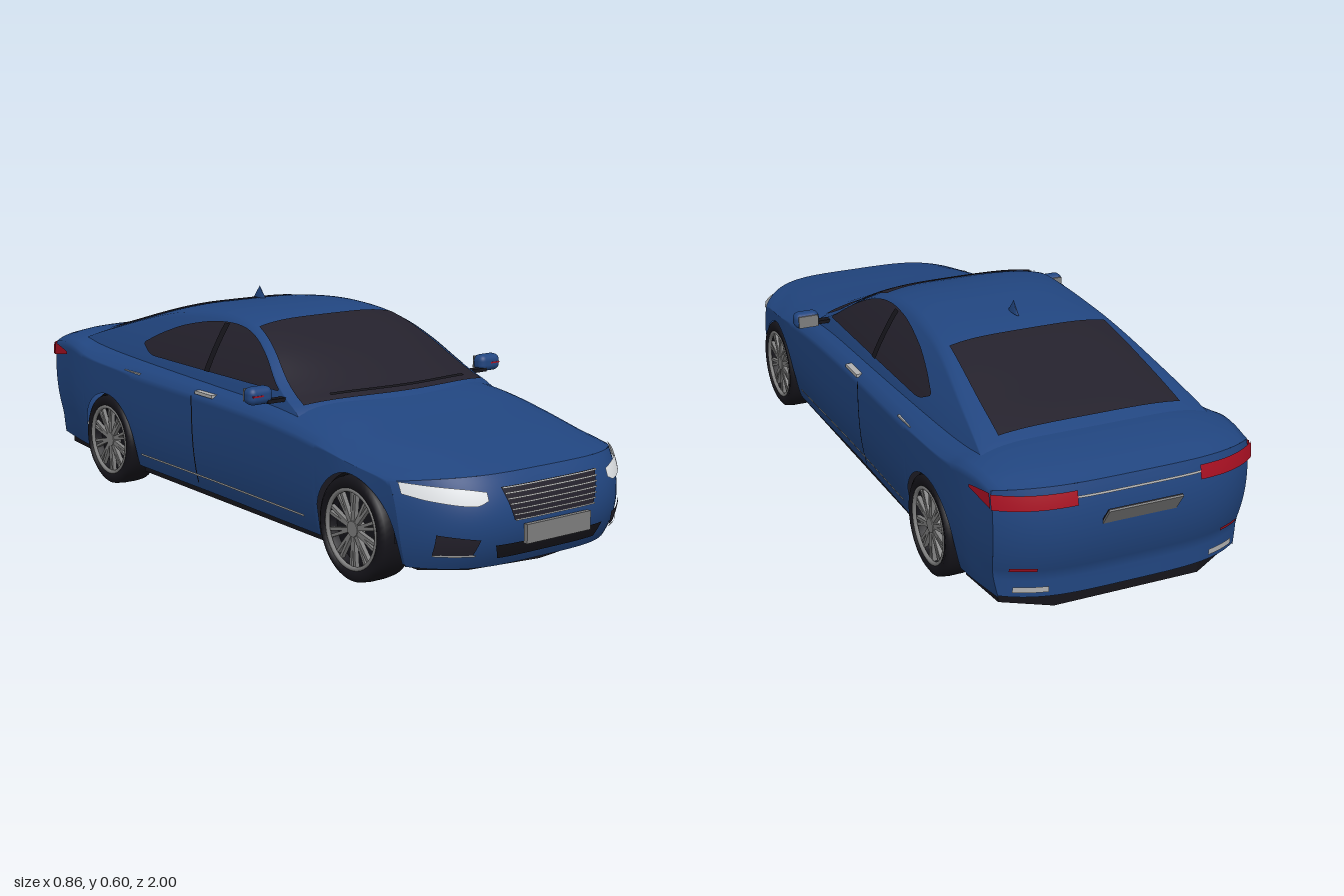
import * as THREE from 'three';
import { RoundedBoxGeometry } from 'three/addons/geometries/RoundedBoxGeometry.js';

const mat = (name, color) => new THREE.MeshStandardMaterial({ name, color, side: THREE.DoubleSide });
const blue = mat('blue paint', 0x21457f), glass = mat('dark glass', 0x24212c), black = mat('black trim', 0x15141a);
const grey = mat('grey metal', 0x7e7e7e), chrome = mat('chrome', 0xb0b0b0), white = mat('lamp white', 0xe2e5e8);
const red = mat('lamp red', 0xa81022);

const clamp = (v, a, b) => Math.min(b, Math.max(a, v));
const mix = (a, b, t) => a + (b - a) * t;
const smooth = t => { t = clamp(t, 0, 1); return t * t * (3 - 2 * t); };

// Smooth curve through [t, value] points in rising t
function curve(...p) {
  const n = p.length - 1;
  const slope = i => {
    const a = p[Math.max(0, i - 1)], b = p[Math.min(n, i + 1)];
    return (b[1] - a[1]) / (b[0] - a[0]);
  };
  return t => {
    t = clamp(t, p[0][0], p[n][0]);
    let i = 0;
    while (i < n - 1 && t > p[i + 1][0]) i++;
    const h = p[i + 1][0] - p[i][0], s = (t - p[i][0]) / h, s2 = s * s, s3 = s2 * s;
    return (2 * s3 - 3 * s2 + 1) * p[i][1] + (s3 - 2 * s2 + s) * h * slope(i)
      + (3 * s2 - 2 * s3) * p[i + 1][1] + (s3 - s2) * h * slope(i + 1);
  };
}

// Body rules along the length
const FRONT = 0.98, REAR = -0.97, AXLES = [0.65, -0.54], ARCH = 0.145;
const halfWidth = curve([-0.97, 0.35], [-0.8, 0.366], [-0.5, 0.372], [0, 0.368], [0.5, 0.372], [0.8, 0.366], [0.98, 0.355]);
const deckY = curve([-0.97, 0.4], [-0.9, 0.42], [-0.8, 0.432], [-0.7, 0.43], [-0.4, 0.42], [0.2, 0.41], [0.42, 0.395],
  [0.6, 0.366], [0.8, 0.338], [0.93, 0.315], [0.98, 0.303]);
const deckDrop = curve([-0.97, 0.015], [-0.7, 0.055], [-0.4, 0.06], [0.4, 0.06], [0.7, 0.045], [0.98, 0.02]);
const baseY = curve([-0.97, 0.1], [-0.7, 0.085], [0.8, 0.08], [0.98, 0.075]);
const shoulderY = z => deckY(z) - deckDrop(z);
const sideX = (y, z) => {
  const sh = shoulderY(z);
  return halfWidth(z) * (1 - 0.08 * clamp((sh - y) / (sh - 0.07), 0, 1) ** 3);
};
// Rounds the nose and tail in plan and in profile
function warp(x, y, z) {
  const f = smooth((z - 0.5) / 0.48), b = smooth((-0.55 - z) / 0.42), k = (x / 0.37) ** 4;
  return z - f * (0.2 * k + Math.min(0.045, 3 * (y - 0.19) ** 2)) + b * (0.1 * k + Math.min(0.03, 1.5 * (y - 0.3) ** 2));
}
function lowY(z) {
  for (const a of AXLES) if (Math.abs(z - a) < ARCH) return 0.13 + Math.sqrt(ARCH ** 2 - (z - a) ** 2);
  return baseY(z);
}
function bodyPoint(s, z) {
  const q = Math.abs(s) * 2, sign = Math.sign(s);
  let x, y;
  if (q <= 1) {
    x = q * halfWidth(z);
    y = deckY(z) - deckDrop(z) * q ** 5;
  } else {
    y = mix(shoulderY(z), lowY(warp(halfWidth(z), 0.2, z)), q - 1);
    x = sideX(y, z);
  }
  return [sign * x, y, warp(x, y, z)];
}
const endPoint = (u, v, z) => {
  const y = mix(baseY(z), deckY(z) - deckDrop(z) * Math.abs(u) ** 5, v), x = u * sideX(y, z);
  return [x, y, warp(x, y, z)];
};
// Points lying just outside the nose, the tail and the flanks
const nosePoint = (x, y, off) => [x + Math.sign(x) * off * (Math.abs(x) / 0.37) ** 3, y, warp(x, y, FRONT) + off];
const tailPoint = (x, y, off) => [x + Math.sign(x) * off * (Math.abs(x) / 0.37) ** 3, y, warp(x, y, REAR) - off];
const sidePoint = (s, y, z, off) => [s * (sideX(y, z) + off), y, warp(sideX(y, z), y, z)];

// Cabin rules
const cabinX = curve([0.34, 0.34], [0.41, 0.315], [0.48, 0.28], [0.55, 0.235], [0.58, 0.2]);
const roofY = curve([-0.82, 0.4], [-0.74, 0.435], [-0.6, 0.48], [-0.36, 0.548], [-0.2, 0.57], [-0.07, 0.574],
  [0.05, 0.558], [0.2, 0.505], [0.38, 0.42], [0.44, 0.395], [0.48, 0.37]);
const bow = (x, z) => z - 0.06 * smooth((z - 0.05) / 0.3) * (x / 0.3) ** 2;
function roofPoint(q, z, off = 0) {
  const e = roofY(z) - 0.02, x = q * cabinX(e);
  return [x, e + 0.02 * (1 - q ** 4) + off, bow(x, z)];
}
function cabinPoint(s, z) {
  const q = Math.abs(s) * 2;
  if (q <= 1) return roofPoint(s * 2, z);
  const e = roofY(z) - 0.02, y = mix(e, Math.min(0.35, e), q - 1), x = cabinX(y);
  return [Math.sign(s) * x, y, bow(x, z)];
}

// Grid surface from fn(u, v), u and v from 0 to 1
function surface(fn, nu, nv) {
  const pos = [], idx = [];
  for (let j = 0; j <= nv; j++) for (let i = 0; i <= nu; i++) {
    pos.push(...fn(i / nu, j / nv));
    const a = j * (nu + 1) + i, b = a + nu + 1;
    if (i < nu && j < nv) idx.push(a, b, a + 1, a + 1, b, b + 1);
  }
  const g = new THREE.BufferGeometry();
  g.setAttribute('position', new THREE.Float32BufferAttribute(pos, 3));
  g.setIndex(idx);
  g.computeVertexNormals();
  return g;
}

export function createModel() {
  const car = new THREE.Group();
  car.name = 'car';
  const add = (name, geo, m, x = 0, y = 0, z = 0, parent = car) => {
    const mesh = new THREE.Mesh(geo, m);
    mesh.name = name;
    mesh.position.set(x, y, z);
    parent.add(mesh);
    return mesh;
  };
  const box = (w, h, d) => new THREE.BoxGeometry(w, h, d);

  // Painted shell
  add('bodyShell', surface((u, v) => bodyPoint(u * 2 - 1, mix(FRONT, REAR, v)), 64, 220), blue);
  add('frontFascia', surface((u, v) => endPoint(u * 2 - 1, v, FRONT), 60, 20), blue);
  add('rearFascia', surface((u, v) => endPoint(1 - u * 2, v, REAR), 60, 20), blue);
  add('cabin', surface((u, v) => cabinPoint(u * 2 - 1, mix(0.48, -0.82, v)), 64, 90), blue);
  const fin = new THREE.ConeGeometry(0.03, 0.035, 12).scale(0.2, 1, 1);
  add('roofFin', fin, blue, 0, 0.582, -0.27);

  // Windscreen, rear window and wipers
  add('windscreen', surface((u, v) => roofPoint((u * 2 - 1) * 0.93, mix(0.43, 0.06, v), 0.004), 30, 40), glass);
  add('rearWindow', surface((u, v) => roofPoint((u * 2 - 1) * mix(0.9, 0.82, v), mix(-0.36, -0.715, v), 0.004), 30, 40), glass);
  for (const [a, b] of [[-0.7, 0], [0, 0.7]])
    add('wiper', surface((u, v) => roofPoint(mix(a, b, u), mix(0.418, 0.408, v), 0.009), 16, 1), black);

  // Front: grille, intake and number plate
  const grilleHalf = y => mix(0.13, 0.155, (y - 0.195) / 0.08);
  add('grille', surface((u, v) => {
    const y = mix(0.195, 0.275, v);
    return nosePoint((u * 2 - 1) * grilleHalf(y), y, 0.004);
  }, 16, 8), glass);
  for (let i = 0; i < 7; i++) {
    const y = 0.197 + i * 0.0128;
    add('grilleBar', surface((u, v) => nosePoint((u * 2 - 1) * grilleHalf(y), y + (v - 0.5) * 0.004, 0.009), 16, 1), chrome);
  }
  add('lowerIntake', surface((u, v) => nosePoint((u * 2 - 1) * mix(0.16, 0.175, v), mix(0.1, 0.137, v), 0.005), 16, 4), black);
  add('frontPlate', box(0.21, 0.048, 0.012), grey, 0, 0.16, 0.992);

  // Tail: tilted number plate and chrome strip
  const plate = new THREE.Group();
  plate.name = 'rearPlate';
  plate.position.set(0, 0.312, -0.981);
  plate.rotation.x = -0.6;
  car.add(plate);
  add('plateFace', box(0.2, 0.058, 0.004), grey, 0, 0, -0.002, plate);
  add('plateBack', box(0.2, 0.058, 0.004), black, 0, 0, 0.002, plate);
  add('bootStrip', surface((u, v) => tailPoint(mix(-0.17, 0.17, u), 0.366 + v * 0.006, 0.005), 16, 1), chrome);

  const lampLow = curve([0, 0.248], [0.2, 0.237], [0.75, 0.248], [1, 0.26]);
  const lampTop = curve([0, 0.268], [0.3, 0.276], [1, 0.287]);
  const windowTop = curve([-0.42, 0.444], [-0.35, 0.478], [-0.25, 0.513], [-0.1, 0.54], [0.04, 0.536], [0.2, 0.483], [0.34, 0.417]);
  const windowLow = curve([-0.42, 0.436], [-0.37, 0.415], [-0.3, 0.412], [0.34, 0.412]);

  for (const s of [1, -1]) {
    // Lamps and bumper details
    add('headlight', surface((u, v) => nosePoint(s * mix(0.195, 0.344, u), mix(lampLow(u), lampTop(u), v), 0.007), 24, 6), white);
    add('bumperVent', surface((u, v) => nosePoint(s * mix(mix(0.225, 0.215, v), 0.3, u), mix(0.115, mix(0.155, 0.168, u), v), 0.006), 10, 5), glass);
    add('ventStrip', surface((u, v) => nosePoint(s * mix(0.22, 0.3, u), 0.112 + v * 0.005, 0.009), 10, 1), chrome);
    add('tailLight', surface((u, v) => tailPoint(s * mix(0.165, 0.35, u), mix(mix(0.35, 0.342, u), mix(0.386, 0.38, u), v), 0.007), 24, 5), red);
    add('tailLightSide', surface((u, v) => sidePoint(s, mix(mix(0.342, 0.358, u), mix(0.38, 0.365, u), v), mix(REAR, -0.87, u), 0.005), 16, 4), red);
    add('rearReflector', surface((u, v) => tailPoint(s * mix(0.25, 0.31, u), mix(0.175, 0.185, v), 0.006), 8, 2), red);
    add('exhaustTrim', surface((u, v) => tailPoint(s * mix(0.22, 0.3, u), mix(0.115, 0.13, v), 0.006), 8, 2), chrome);

    // Side glass, pillar, seam, sill strip and handles
    add('sideWindow', surface((u, v) => {
      const z = mix(0.34, -0.42, u), y = mix(windowLow(z), windowTop(z), v);
      return [s * (cabinX(y) + 0.004), y, bow(cabinX(y), z)];
    }, 50, 10), glass);
    add('doorPillar', surface((u, v) => {
      const y = mix(0.412, 0.54, v);
      return [s * (cabinX(y) + 0.008), y, mix(-0.05, -0.075, u)];
    }, 1, 10), black);
    add('doorSeam', surface((u, v) => sidePoint(s, mix(0.1, 0.35, v), -0.063 - u * 0.005, 0.003), 1, 12), black);
    add('sillStrip', surface((u, v) => sidePoint(s, 0.121 + v * 0.006, mix(0.45, -0.36, u), 0.004), 30, 1), chrome);
    for (const z of [-0.01, -0.39]) add('doorHandle', box(0.022, 0.009, 0.085), chrome, s * 0.357, 0.361, z);

    // Door mirror
    add('mirrorStalk', box(0.07, 0.01, 0.022), black, s * 0.34, 0.396, 0.3);
    add('mirrorHousing', new RoundedBoxGeometry(0.074, 0.047, 0.044, 4, 0.018), blue, s * 0.392, 0.413, 0.29);
    add('mirrorGlass', box(0.058, 0.034, 0.004), grey, s * 0.392, 0.413, 0.267);
    add('mirrorIndicator', box(0.032, 0.004, 0.004), red, s * 0.405, 0.414, 0.311);

    for (const z of AXLES) {
      // Wheel well
      const well = new THREE.CylinderGeometry(ARCH, ARCH, 0.06, 32, 1, false, 0, Math.PI).rotateZ(Math.PI / 2);
      add('wheelWell', well, black, s * 0.23, 0.13, z);
      const liner = new THREE.CylinderGeometry(ARCH, ARCH, 0.09, 32, 1, true, 0, Math.PI).rotateZ(Math.PI / 2);
      add('archLiner', liner, black, s * 0.3, 0.13, z);

      // Wheel, outer side towards local +x
      const wheel = new THREE.Group();
      wheel.name = 'wheel';
      wheel.position.set(s * 0.32, 0.135, z);
      if (s < 0) wheel.rotation.y = Math.PI;
      car.add(wheel);
      const profile = [[0.095, -0.045], [0.12, -0.05], [0.132, -0.042], [0.135, -0.02], [0.135, 0.02], [0.132, 0.042], [0.12, 0.05], [0.1, 0.046], [0.096, 0.01]];
      add('tyre', new THREE.LatheGeometry(profile.map(p => new THREE.Vector2(...p)), 48).rotateZ(-Math.PI / 2), black, 0, 0, 0, wheel);
      add('wheelBack', new THREE.CylinderGeometry(0.097, 0.097, 0.05, 40).rotateZ(Math.PI / 2), black, -0.01, 0, 0, wheel);
      add('rimRing', new THREE.TorusGeometry(0.099, 0.006, 8, 48).rotateY(Math.PI / 2), grey, 0.043, 0, 0, wheel);
      add('hub', new THREE.CylinderGeometry(0.02, 0.024, 0.024, 24).rotateZ(-Math.PI / 2), grey, 0.03, 0, 0, wheel);
      for (let i = 0; i < 10; i++) for (const d of [-0.09, 0.09]) {
        const spoke = add('spoke', box(0.012, 0.082, 0.008).translate(0, 0.058, 0), grey, 0.034, 0, 0, wheel);
        spoke.rotation.x = i * Math.PI / 5 + d;
      }
    }
  }

  // Flat underbody with notches for the wheels
  const half = [[0.2, 0.9], [0.3, 0.83], [0.3, 0.8], [0.26, 0.795], [0.26, 0.505], [0.335, 0.495], [0.335, -0.385],
    [0.26, -0.395], [0.26, -0.685], [0.33, -0.695], [0.315, -0.85], [0.2, -0.92]];
  const outline = [...half, ...half.map(([x, z]) => [-x, z]).reverse()].map(p => new THREE.Vector2(...p));
  outline.push(new THREE.Vector2(0, 0.93));
  const floor = new THREE.ExtrudeGeometry(new THREE.Shape(outline), { depth: 0.035, bevelEnabled: false }).rotateX(Math.PI / 2);
  add('underbody', floor, black, 0, 0.1, 0);
  add('floorPlate', box(0.055, 0.008, 0.22), grey, 0.03, 0.062, 0.1);
  add('exhaustBox', box(0.44, 0.008, 0.05), grey, 0, 0.063, -0.76);
  return car;
}
